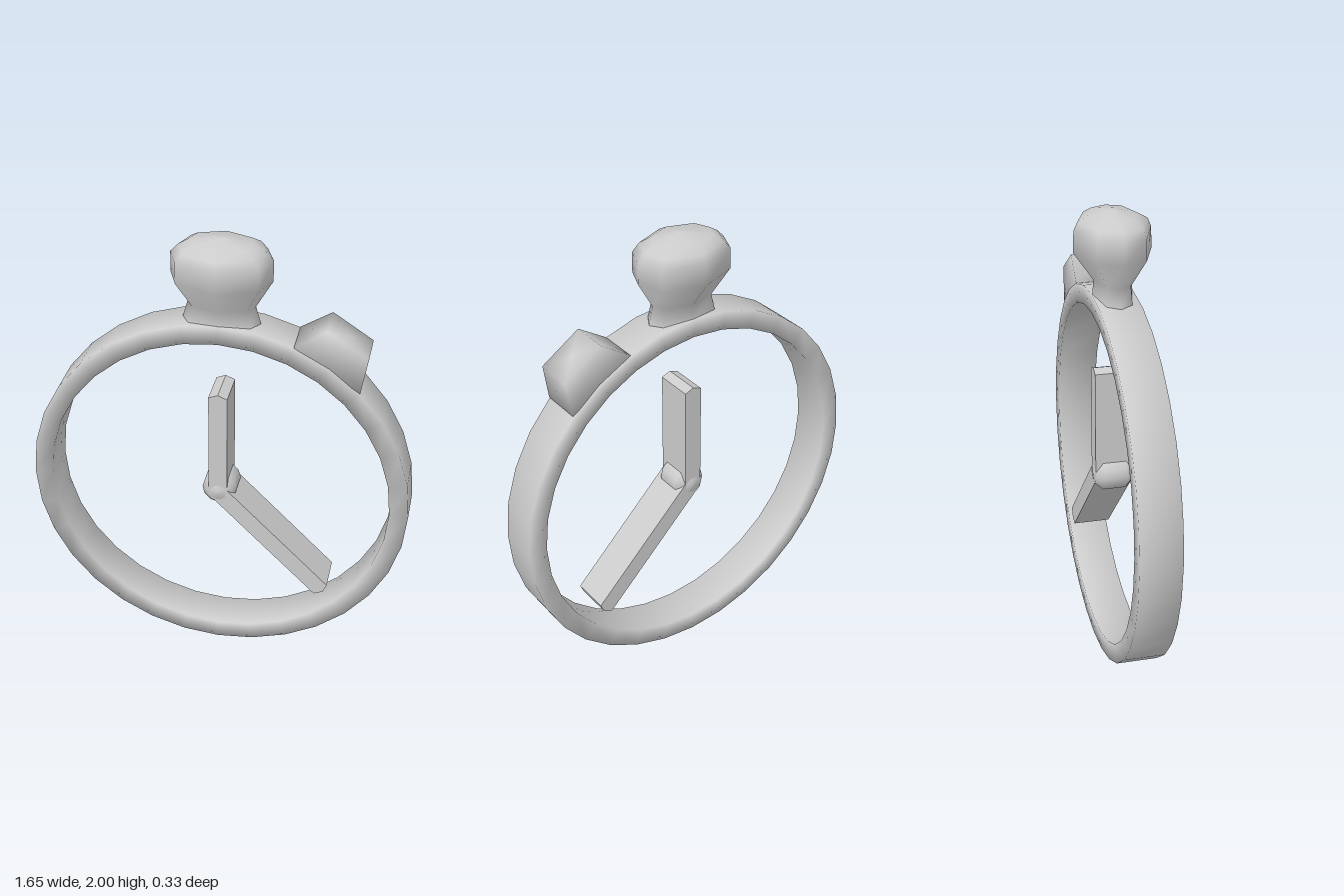
import * as THREE from 'three';

const material = new THREE.MeshStandardMaterial({ color: 0xcccccc });
const CENTRE_Y = 0.825;
const DEPTH = 0.088; // half thickness of the case

function part(name, geometry) {
  const mesh = new THREE.Mesh(geometry, material);
  mesh.name = name;
  return mesh;
}

// Smooth skin over equal-sized cross-sections, either looped or capped at both ends.
function loft(sections, looped = false) {
  const n = sections[0].length, m = sections.length;
  const points = sections.flat();
  const index = [];
  for (let i = 0; i < (looped ? m : m - 1); i++) {
    for (let j = 0; j < n; j++) {
      const k = (j + 1) % n, next = (i + 1) % m;
      const a = i * n + j, b = i * n + k, c = next * n + k, d = next * n + j;
      index.push(a, b, c, a, c, d);
    }
  }
  if (!looped) {
    for (const [i, flip] of [[0, true], [m - 1, false]]) {
      const mid = new THREE.Vector3();
      sections[i].forEach((p) => mid.addScaledVector(p, 1 / n));
      const centre = points.push(mid) - 1;
      for (let j = 0; j < n; j++) {
        const a = i * n + j, b = i * n + ((j + 1) % n);
        index.push(centre, flip ? b : a, flip ? a : b);
      }
    }
  }
  const geometry = new THREE.BufferGeometry().setFromPoints(points);
  geometry.setIndex(index);
  geometry.computeVertexNormals();
  return geometry;
}

// Four corners spanning a right and a left point, z deep on each side.
function quad(rx, ry, lx, ly, z) {
  return [[rx, ry, -z], [lx, ly, -z], [lx, ly, z], [rx, ry, z]].map((p) => new THREE.Vector3(...p));
}

// Band-shaped case
function caseRing() {
  const sections = [];
  for (let i = 0; i < 32; i++) {
    const a = (i / 32) * Math.PI * 2, c = Math.cos(a), s = Math.sin(a);
    sections.push(quad(0.823 * c, CENTRE_Y + 0.823 * s, 0.742 * c, CENTRE_Y + 0.742 * s, DEPTH));
  }
  return part('caseRing', loft(sections, true));
}

// Eight-sided crown: height, half width, half depth
function crown() {
  const profile = [
    [1.6, 0.16, 0.088], [1.64, 0.16, 0.085], [1.71, 0.14, 0.08], [1.83, 0.208, 0.163],
    [1.92, 0.208, 0.16], [1.955, 0.175, 0.145], [1.98, 0.135, 0.1], [2.0, 0.02, 0.015],
  ];
  const outline = [[1, 0], [0.8, -0.62], [0, -1], [-0.8, -0.62], [-1, 0], [-0.8, 0.62], [0, 1], [0.8, 0.62]];
  return part('crown', loft(profile.map(([y, w, d]) =>
    outline.map(([x, z]) => new THREE.Vector3(x * w, y, z * d)))));
}

// Slanted push button on the shoulder of the case
function sideButton() {
  return part('sideButton', loft([
    quad(0.585, 1.41, 0.31, 1.59, DEPTH),
    quad(0.61, 1.565, 0.44, 1.675, 0.082),
  ]));
}

// Deep bar with a slightly pointed tip
function hand(name, length, angle) {
  const w = 0.04;
  const shape = new THREE.Shape([[-w, 0], [w, 0], [w, length - 0.016], [0, length], [-w, length - 0.016]]
    .map((p) => new THREE.Vector2(...p)));
  const geometry = new THREE.ExtrudeGeometry(shape, { depth: 2 * DEPTH - 0.01, bevelEnabled: false });
  geometry.translate(0, 0, 0.005 - DEPTH);
  const mesh = part(name, geometry);
  mesh.position.y = CENTRE_Y;
  mesh.rotation.z = angle;
  return mesh;
}

// Rounded pin joining the hands
function hub() {
  const profile = [[0, -0.087], [0.045, -0.082], [0.075, -0.05], [0.075, 0.05], [0.045, 0.082], [0, 0.087]]
    .map((p) => new THREE.Vector2(...p));
  const geometry = new THREE.LatheGeometry(profile, 12);
  geometry.rotateX(Math.PI / 2);
  const mesh = part('hub', geometry);
  mesh.position.y = CENTRE_Y;
  return mesh;
}

export function createModel() {
  const group = new THREE.Group();
  group.name = 'stopwatch';
  group.add(
    caseRing(), crown(), sideButton(), hub(),
    hand('shortHand', 0.497, 0),
    hand('longHand', 0.675, -Math.PI * 0.75),
  );
  return group;
}
